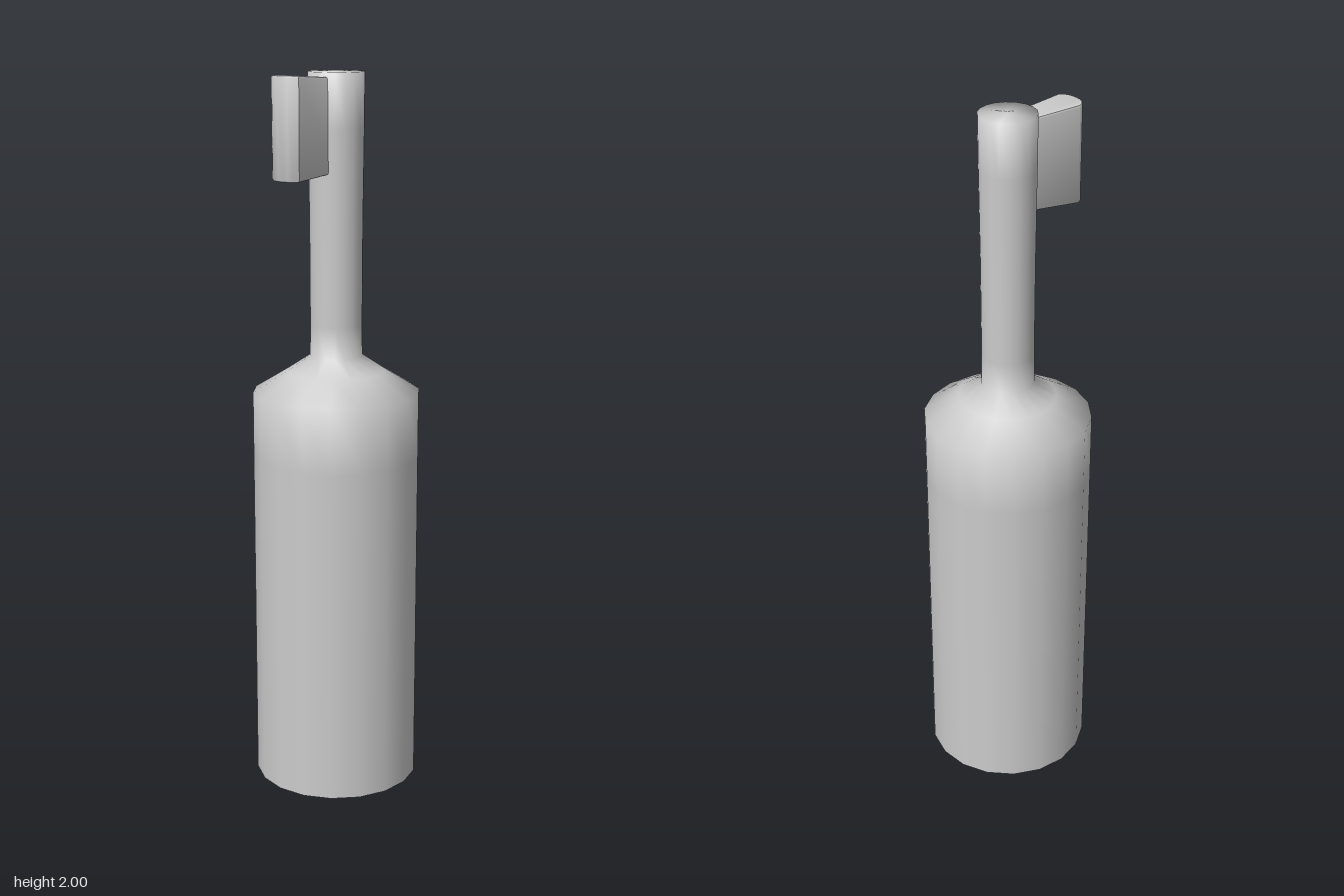
import * as THREE from 'three';
import { toCreasedNormals } from 'three/addons/utils/BufferGeometryUtils.js';

const SIDES = 18;

export function createModel() {
  const group = new THREE.Group();
  const material = new THREE.MeshStandardMaterial({ color: 0xcccccc });
  const add = (name, geometry) => {
    const mesh = new THREE.Mesh(geometry, material);
    mesh.name = name;
    group.add(mesh);
    return mesh;
  };

  // Barrel, sloping shoulder, slim neck and closed top as one turned profile
  const profile = [
    [0.232, 0], [0.232, 0.95], [0.232, 1.13], [0.135, 1.19], [0.073, 1.232],
    [0.072, 1.32], [0.073, 1.6], [0.076, 1.85], [0.077, 1.998], [0, 2],
  ].map(([r, y]) => new THREE.Vector2(r, y));
  add('body', new THREE.LatheGeometry(profile, SIDES, Math.PI / 2));

  // Flat underside
  add('base', new THREE.CircleGeometry(0.232, SIDES).rotateX(Math.PI / 2));

  // Flag-like lever: plan outline (x, -z), widening outwards to a rounded end
  const bevel = 0.006;
  const outline = new THREE.Shape();
  outline.moveTo(-0.038, -0.04);
  outline.lineTo(-0.074, -0.178);
  outline.bezierCurveTo(-0.072, -0.204, -0.012, -0.218, 0.008, -0.192);
  outline.lineTo(0.017, -0.04);
  outline.closePath();
  const lever = new THREE.ExtrudeGeometry(outline, {
    depth: 0.262 - 2 * bevel, bevelThickness: bevel, bevelSize: bevel,
    bevelSegments: 2, curveSegments: 8,
  });
  lever.rotateX(-Math.PI / 2).translate(0, -0.131 + bevel, 0);

  // Height grows slightly from the neck to the outer end
  const p = lever.attributes.position;
  for (let i = 0; i < p.count; i++) {
    const t = THREE.MathUtils.clamp((p.getZ(i) - 0.07) / 0.13, 0, 1);
    p.setY(i, 1.859 + p.getY(i) * (0.95 + 0.09 * t));
  }
  add('lever', toCreasedNormals(lever, 0.7));

  return group;
}
